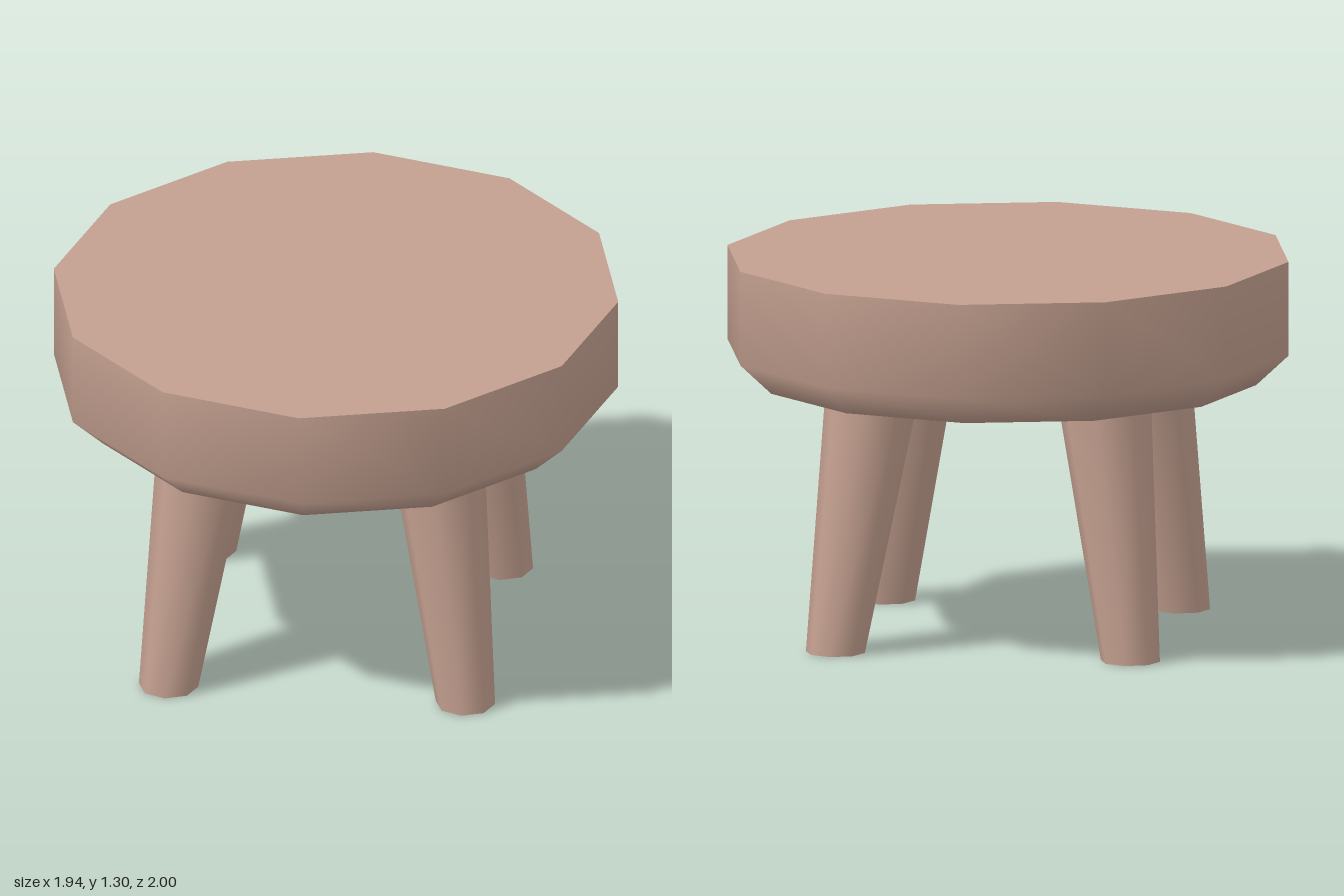
import * as THREE from 'three';

const SEAT_BOTTOM = 0.875, SEAT_TOP = 1.305;

export function createModel() {
  const wood = new THREE.MeshStandardMaterial({ color: 0xc4a090 });
  wood.name = 'wood';

  const stool = new THREE.Group();
  stool.name = 'stool';

  // Twelve-sided seat: smooth underside, chamfer and rim, with a crisp flat top
  const seat = new THREE.Group();
  seat.name = 'seat';
  seat.scale.x = 0.97;
  const profile = [[0, SEAT_BOTTOM], [0.885, SEAT_BOTTOM], [1, 0.98], [1, SEAT_TOP]]
    .map(([r, y]) => new THREE.Vector2(r, y));
  const body = new THREE.Mesh(new THREE.LatheGeometry(profile, 12), wood);
  body.name = 'seatBody';
  const top = new THREE.Mesh(new THREE.CircleGeometry(1, 12), wood);
  top.name = 'seatTop';
  top.rotation.x = -Math.PI / 2;
  top.position.y = SEAT_TOP;
  seat.add(body, top);
  stool.add(seat);

  // Four tapered legs, sheared outward so the feet stay flat on the floor
  const legHeight = SEAT_BOTTOM + 0.02;
  const footOffset = 0.51, lean = (0.402 - footOffset) / SEAT_BOTTOM;
  for (const [side, sx] of [['Left', 1], ['Right', -1]]) {
    for (const [end, sz] of [['front', 1], ['back', -1]]) {
      const geometry = new THREE.CylinderGeometry(0.163, 0.102, legHeight, 8);
      geometry.translate(0, legHeight / 2, 0);
      geometry.applyMatrix4(new THREE.Matrix4().set(
        1, sx * lean, 0, sx * footOffset,
        0, 1, 0, 0,
        0, sz * lean, 1, sz * footOffset,
        0, 0, 0, 1));
      const leg = new THREE.Mesh(geometry, wood);
      leg.name = `${end}${side}Leg`;
      stool.add(leg);
    }
  }
  return stool;
}
